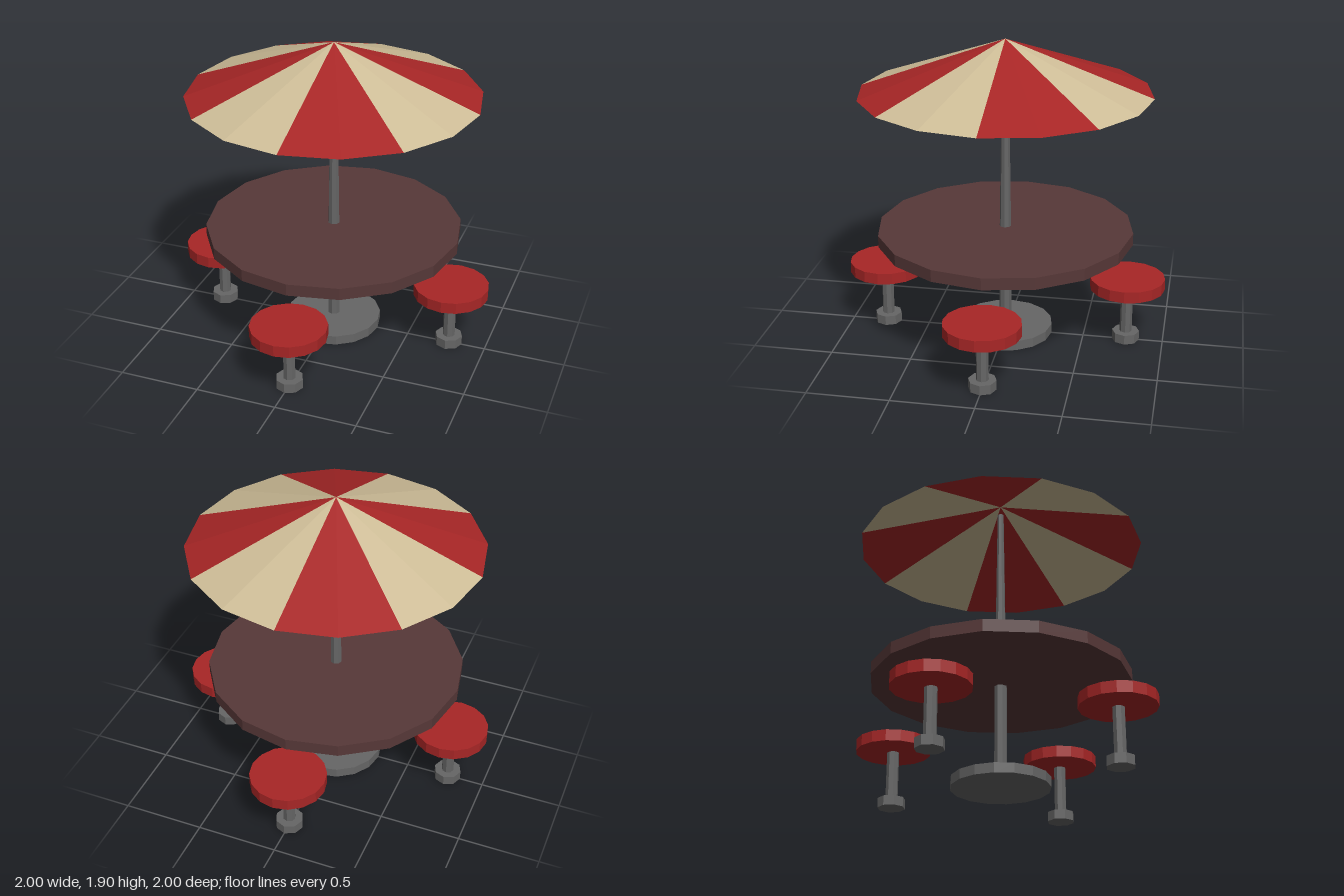
import * as THREE from 'three';

const material = (color) => new THREE.MeshStandardMaterial({ color, flatShading: true });

export function createModel() {
  const model = new THREE.Group();
  const metal = material(0x666666);
  const wood = material(0x573838);
  const red = material(0xa82626);
  const cream = material(0xcfbe98);

  // Upright drum between two heights
  function drum(parent, name, mat, rTop, rBottom, y0, y1, sides) {
    const geometry = new THREE.CylinderGeometry(rTop, rBottom, y1 - y0, sides);
    const mesh = new THREE.Mesh(geometry, mat);
    mesh.name = name;
    mesh.position.y = (y0 + y1) / 2;
    parent.add(mesh);
  }

  // Table: foot, post, top and the tapering umbrella pole
  const table = new THREE.Group();
  table.name = 'table';
  drum(table, 'tableFoot', metal, 0.298, 0.298, 0, 0.06, 16);
  drum(table, 'tablePost', metal, 0.039, 0.039, 0.03, 0.66, 8);
  drum(table, 'tableTop', wood, 0.793, 0.793, 0.643, 0.717, 16);
  drum(table, 'umbrellaPole', metal, 0.02, 0.036, 0.7, 1.84, 8);
  model.add(table);

  // Canopy: eight alternating panels, two facets each
  const canopy = new THREE.Group();
  canopy.name = 'canopy';
  const canopyMaterials = [red, cream].map((m) => {
    const doubleSided = m.clone();
    doubleSided.side = THREE.DoubleSide;
    return doubleSided;
  });
  for (let i = 0; i < 8; i++) {
    const geometry = new THREE.CylinderGeometry(0, 0.888, 0.325, 2, 1, true, (i * Math.PI) / 4, Math.PI / 4);
    const panel = new THREE.Mesh(geometry, canopyMaterials[i % 2]);
    panel.name = 'canopyPanel';
    panel.position.y = 1.74;
    canopy.add(panel);
  }
  model.add(canopy);

  // Four stools around the table
  for (let i = 0; i < 4; i++) {
    const stool = new THREE.Group();
    stool.name = 'stool';
    drum(stool, 'stoolFoot', metal, 0.085, 0.085, 0, 0.06, 8);
    drum(stool, 'stoolStem', metal, 0.038, 0.038, 0.03, 0.37, 8);
    drum(stool, 'stoolSeat', red, 0.232, 0.232, 0.357, 0.428, 16);
    const angle = (i * Math.PI) / 2;
    stool.position.set(Math.sin(angle) * 0.768, 0, Math.cos(angle) * 0.768);
    stool.rotation.y = angle;
    model.add(stool);
  }
  return model;
}
